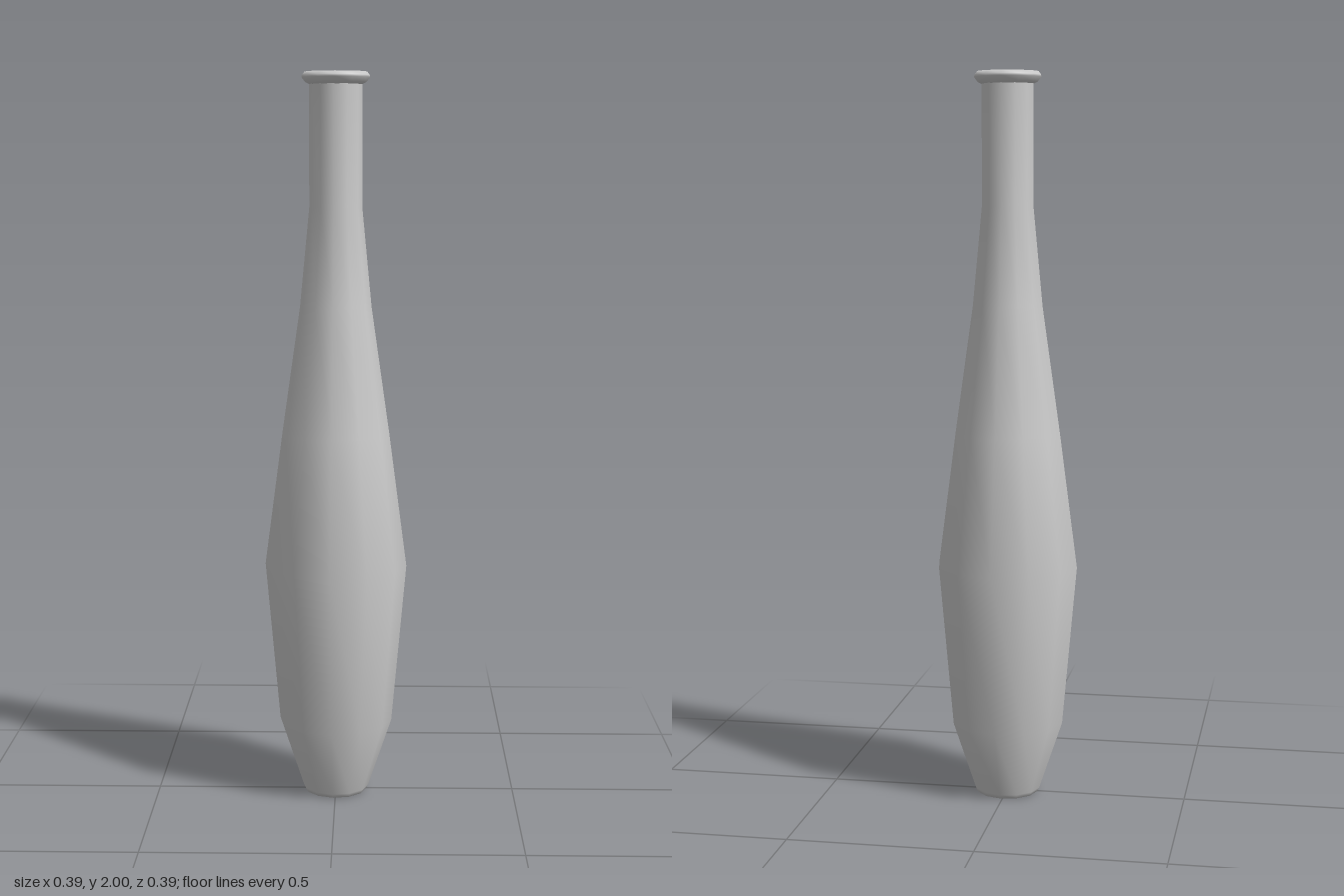
import * as THREE from 'three';

const SIDES = 12;
const TWIST = -THREE.MathUtils.degToRad(3.5);

// Turns a list of [radius, height] pairs into a smooth twelve-sided surface
function turned(name, profile, material, phiStart) {
  const points = profile.map(([r, y]) => new THREE.Vector2(r, y));
  const mesh = new THREE.Mesh(new THREE.LatheGeometry(points, SIDES, phiStart), material);
  mesh.name = name;
  return mesh;
}

export function createModel() {
  const group = new THREE.Group();
  group.name = 'bottle';
  const material = new THREE.MeshStandardMaterial({ color: 0xcccccc, side: THREE.DoubleSide });

  // Outer wall, from the recessed underside up to the neck
  group.add(turned('body', [
    [0, 0.03], [0.055, 0.025], [0.068, 0.003], [0.085, 0], [0.092, 0.012],
    [0.157, 0.205], [0.197, 0.65], [0.148, 1.02], [0.098, 1.37],
    [0.072, 1.64], [0.072, 1.972],
  ], material, TWIST));

  // Flared lip around the mouth
  group.add(turned('lip', [
    [0.07, 1.966], [0.082, 1.972], [0.092, 1.985], [0.091, 1.991], [0.084, 2],
    [0.076, 1.994], [0.062, 1.965], [0.054, 1.93],
  ], material, 0));

  // Inner wall, from the mouth down to the floor
  group.add(turned('innerWall', [
    [0.054, 1.93], [0.051, 1.64], [0.08, 1.37], [0.128, 1.02], [0.175, 0.65],
    [0.137, 0.21], [0.085, 0.06], [0, 0.055],
  ], material, 0));

  return group;
}
